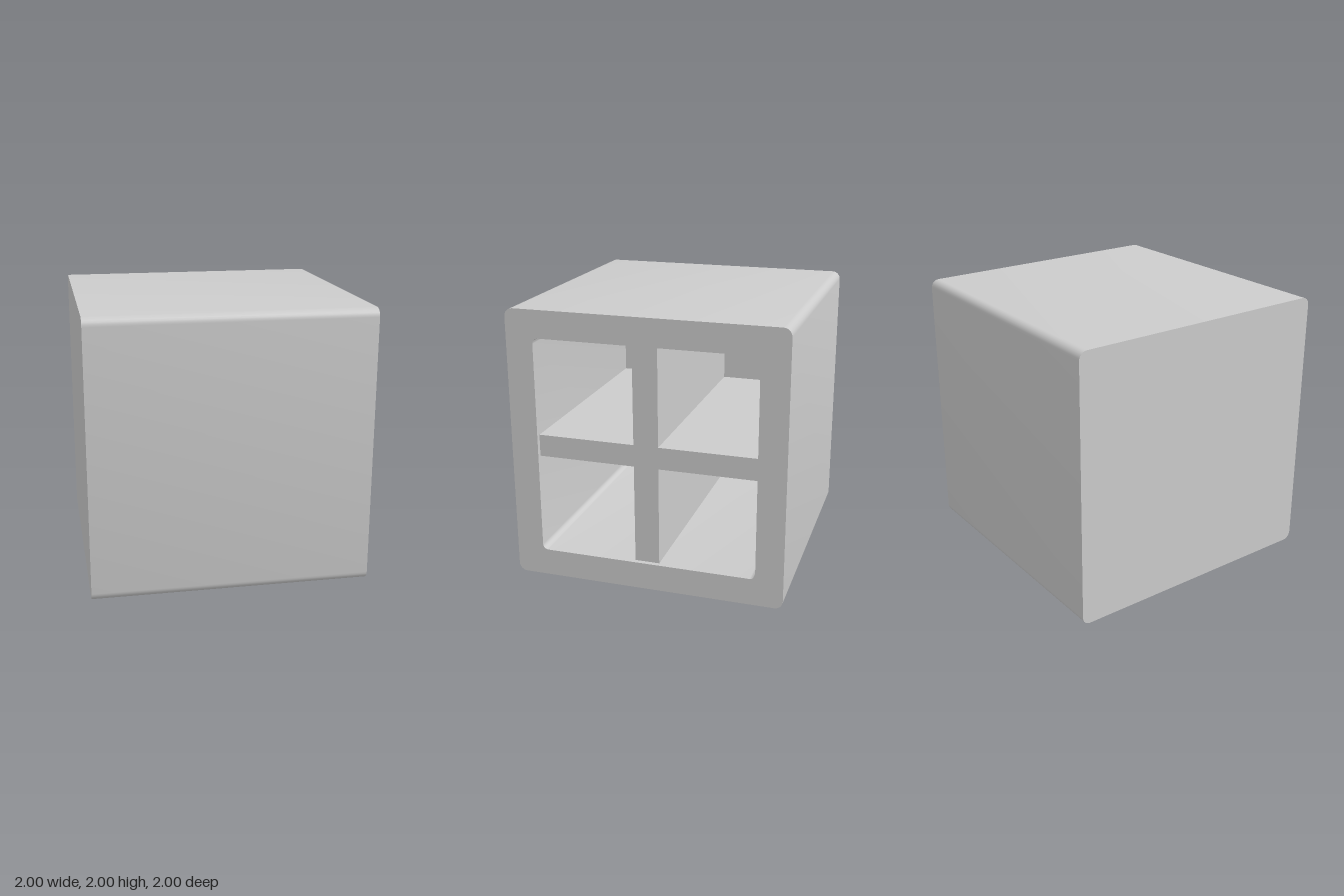
import * as THREE from 'three';
import { toCreasedNormals } from 'three/addons/utils/BufferGeometryUtils.js';

const BACK = -0.8;   // inner face of the rear wall
const FRONT = 0.965; // dividers sit slightly behind the rim

// Rounded square in the plane at x, counter-clockwise seen from +x
function roundedLoop(x, half, radius, steps = 6) {
  const pts = [];
  for (let corner = 0; corner < 4; corner++) {
    const mid = Math.PI / 4 + corner * Math.PI / 2;
    const cu = Math.sign(Math.cos(mid)) * (half - radius);
    const cy = Math.sign(Math.sin(mid)) * (half - radius);
    for (let i = 0; i <= steps; i++) {
      const a = (corner + i / steps) * Math.PI / 2;
      pts.push([x, 1 + cy + radius * Math.sin(a), -(cu + radius * Math.cos(a))]);
    }
  }
  return pts;
}

// Skin of consecutive loops, closed by a flat fan at both ends
function skinLoops(loops) {
  const pos = [];
  const tri = (a, b, c) => pos.push(...a, ...b, ...c);
  const n = loops[0].length;
  const first = loops[0];
  const last = loops[loops.length - 1];
  for (let i = 0; i < n; i++) {
    const j = (i + 1) % n;
    for (let k = 0; k < loops.length - 1; k++) {
      const a = loops[k], b = loops[k + 1];
      tri(a[i], a[j], b[j]);
      tri(a[i], b[j], b[i]);
    }
    tri(first[j], first[i], [first[0][0], 1, 0]);
    tri(last[i], last[j], [last[0][0], 1, 0]);
  }
  const geo = new THREE.BufferGeometry();
  geo.setAttribute('position', new THREE.Float32BufferAttribute(pos, 3));
  return toCreasedNormals(geo, Math.PI / 6);
}

export function createModel() {
  const group = new THREE.Group();
  group.name = 'cubeShelf';
  const material = new THREE.MeshStandardMaterial({ color: 0xcccccc });

  // Hollow cube: outer skin, front rim, cavity walls and cavity back
  const shell = new THREE.Mesh(skinLoops([
    roundedLoop(-1, 1, 0.06),
    roundedLoop(1, 1, 0.06),
    roundedLoop(1, 0.8, 0.04),
    roundedLoop(BACK, 0.8, 0.04),
  ]), material);
  shell.name = 'shell';
  group.add(shell);

  // Cross-shaped divider making four compartments
  const w = 0.09, lo = 0.925, hi = 1.085, e = 0.8;
  const cross = new THREE.Shape([
    [-w, 0.2], [w, 0.2], [w, lo], [e, lo], [e, hi], [w, hi],
    [w, 1.8], [-w, 1.8], [-w, hi], [-e, hi], [-e, lo], [-w, lo],
  ].map(([u, y]) => new THREE.Vector2(u, y)));
  const dividerGeo = new THREE.ExtrudeGeometry(cross, { depth: FRONT - BACK, bevelEnabled: false });
  dividerGeo.rotateY(Math.PI / 2).translate(BACK, 0, 0);
  const divider = new THREE.Mesh(dividerGeo, material);
  divider.name = 'crossDivider';
  group.add(divider);

  return group;
}
